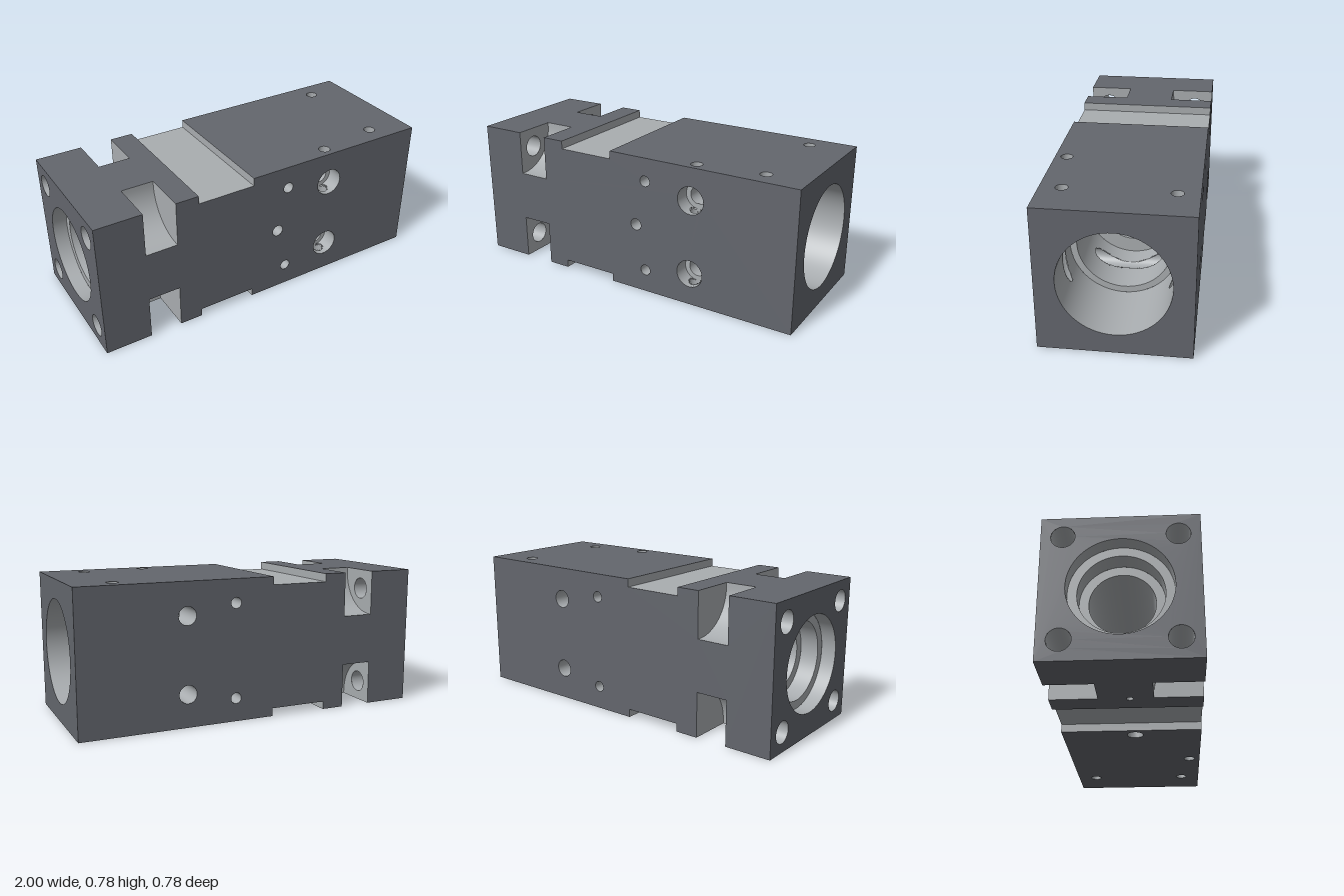
import * as THREE from 'three';

const H = 0.392;                                   // half height and half depth
const P0 = -0.74, P1 = -0.56, P = 0.25;            // corner pockets: x range, size
const G0 = -0.43, G1 = -0.1, G = 0.045;            // cross grooves: x range, depth
const BOLT = 0.282, BOLT_R = 0.06;

// stepped main bore: [x start, x end, radius]
const BORE = [
  [-1, -0.92, 0.262], [-0.92, -0.82, 0.215], [-0.82, 0.25, 0.167],
  [0.25, 0.62, 0.25], [0.62, 1, 0.285],
];
const boreRadius = x => (BORE.find(b => x < b[1]) || BORE[4])[2];

// cross holes: half holes running from one outer side towards the middle
const HOLES = [];
const drill = (axis, side, x, c, r, from = H, to = 0) => HOLES.push({ axis, side, x, c, r, from, to });
for (const s of [1, -1]) {
  for (const side of [1, -1]) drill('z', side, 0.125, s * 0.262, 0.03);
  drill('z', 1, 0.405, s * 0.21, 0.077, H, 0.3);   // counterbore
  drill('z', 1, 0.405, s * 0.21, 0.05, 0.3);
  drill('z', -1, 0.405, s * 0.21, 0.05);
  for (const c of [0.28, -0.28]) drill('y', s, 0.77, c, 0.032);
  drill('y', s, 0.405, 0.33, 0.032);
}
drill('z', 1, 0.065, 0, 0.033);
drill('y', -1, -0.03, 0.02, 0.045);
drill('y', -1, -0.55, 0.02, 0.018);

const inHole = (h, p) => {
  const along = (h.axis === 'z' ? p.z : p.y) * h.side;
  const across = h.axis === 'z' ? p.y : p.z;
  return along > h.to && along < h.from && Math.hypot(p.x - h.x, across - h.c) < h.r;
};

// closed tube as a grid, leaving out what other holes cut away
function tube(n, m, point, removed) {
  const pts = [], index = [], mid = new THREE.Vector3();
  for (let j = 0; j <= m; j++)
    for (let i = 0; i < n; i++) pts.push(point(i / n * Math.PI * 2, j / m));
  const tri = (a, b, c) => {
    mid.copy(pts[a]).add(pts[b]).add(pts[c]).divideScalar(3);
    if (!removed(mid)) index.push(a, b, c);
  };
  for (let j = 0; j < m; j++)
    for (let i = 0; i < n; i++) {
      const a = j * n + i, b = j * n + (i + 1) % n;
      tri(a, b, a + n);
      tri(b, b + n, a + n);
    }
  const g = new THREE.BufferGeometry().setFromPoints(pts);
  g.setIndex(index);
  g.computeVertexNormals();
  return g;
}

function plate(outline, circles = []) {
  const s = new THREE.Shape(outline.map(p => new THREE.Vector2(p[0], p[1])));
  for (const [x, y, r] of circles) s.holes.push(new THREE.Path().absarc(x, y, r, 0, Math.PI * 2, true));
  return new THREE.ShapeGeometry(s, 40);
}
// closes an upper outline with its mirror image below
const mirrored = up => [...up, ...up.map(([x, y]) => [x, -y]).reverse()];

export function createModel() {
  const model = new THREE.Group();
  const body = new THREE.Group();
  body.position.y = H;
  model.add(body);
  const dark = new THREE.MeshStandardMaterial({ color: 0x63666d, side: THREE.DoubleSide });
  const light = new THREE.MeshStandardMaterial({ color: 0xa9adb0, side: THREE.DoubleSide });
  const add = (name, geometry, material, parent = body) => {
    const mesh = new THREE.Mesh(geometry, material);
    mesh.name = name;
    parent.add(mesh);
    return mesh;
  };
  const openings = (axis, side) => HOLES
    .filter(h => h.axis === axis && h.side === side && h.from === H).map(h => [h.x, h.c, h.r]);

  // outer faces with pocket and groove cut-outs
  const head = [[-1, H], [P0, H], [P0, H - P], [P1, H - P], [P1, H], [G0, H]];
  const sideOutline = mirrored([...head, [G0, H - G], [G1, H - G], [G1, H], [1, H]]);
  for (const s of [1, -1]) {
    add(s > 0 ? 'frontFace' : 'backFace', plate(sideOutline, openings('z', s)).translate(0, 0, s * H), dark);
    const holes = openings('y', s);
    const name = s > 0 ? 'top' : 'bottom';
    add(name + 'HeadFace', plate(mirrored(head), holes.filter(h => h[0] < G0))
      .rotateX(Math.PI / 2).translate(0, s * H, 0), dark);
    add(name + 'MainFace', plate(mirrored([[G1, H], [1, H]]), holes.filter(h => h[0] > G1))
      .rotateX(Math.PI / 2).translate(0, s * H, 0), dark);

    // cross groove
    add(name + 'GrooveFloor', new THREE.PlaneGeometry(G1 - G0, 2 * H)
      .rotateX(-Math.PI / 2).translate((G0 + G1) / 2, s * (H - G), 0), light);
    for (const x of [G0, G1])
      add(name + 'GrooveWall', new THREE.PlaneGeometry(2 * H, G)
        .rotateY(Math.PI / 2).translate(x, s * (H - G / 2), 0), light);
  }

  // end faces
  const square = mirrored([[-H, H], [H, H]]);
  const bolts = [];
  for (const y of [1, -1]) for (const z of [1, -1]) bolts.push([z * BOLT, y * BOLT, BOLT_R]);
  add('boreEndFace', plate(square, [[0, 0, BORE[4][2]]]).rotateY(-Math.PI / 2).translate(1, 0, 0), dark);
  add('boltEndFace', plate(square, [[0, 0, BORE[0][2]], ...bolts])
    .rotateY(-Math.PI / 2).translate(-1, 0, 0), dark);

  // stepped bore and its shoulders
  BORE.forEach(([x0, x1, r], k) => {
    add('bore', tube(160, Math.ceil((x1 - x0) / 0.0125),
      (a, t) => new THREE.Vector3(x0 + (x1 - x0) * t, r * Math.sin(a), r * Math.cos(a)),
      p => HOLES.some(h => inHole(h, p))), light);
    if (k) {
      const q = BORE[k - 1][2];
      add('boreShoulder', new THREE.RingGeometry(Math.min(q, r), Math.max(q, r), 96)
        .rotateY(Math.PI / 2).translate(x0, 0, 0), light);
    }
  });

  // cross holes, each ending on the bore wall or at the middle
  for (const h of HOLES) {
    const R = boreRadius(h.x);
    add('crossHole', tube(40, 24, (a, t) => {
      const x = h.x + h.r * Math.cos(a), c = h.c + h.r * Math.sin(a);
      const end = Math.max(h.to, Math.sqrt(Math.max(0, R * R - c * c)));
      const d = h.side * (h.from + (end - h.from) * t);
      return h.axis === 'z' ? new THREE.Vector3(x, c, d) : new THREE.Vector3(x, d, c);
    }, p => HOLES.some(o => o !== h && inHole(o, p))), light);
    if (h.to > 0)
      add('counterboreSeat', new THREE.RingGeometry(0.05, h.r, 40).translate(h.x, h.c, h.side * h.to), light);
  }

  // rounded corner pockets with bolt holes through the end flange
  const e = 0.02, arc = [[H, H - P]];
  for (let i = 0; i <= 20; i++) {
    const a = i / 20 * Math.PI / 2;
    arc.push([H - e - (P - e) * Math.sin(a), H - e - (P - e) * Math.cos(a)]);
  }
  arc.push([H - P, H]);
  const floorPoints = arc.flatMap(([z, y]) => [new THREE.Vector3(P0, y, z), new THREE.Vector3(P1, y, z)]);
  const floor = new THREE.BufferGeometry().setFromPoints(floorPoints);
  floor.setIndex(arc.slice(1).flatMap((_, i) => [2 * i, 2 * i + 1, 2 * i + 2, 2 * i + 1, 2 * i + 3, 2 * i + 2]));
  floor.computeVertexNormals();
  const wall = [...arc, [H, H]];
  for (const sy of [1, -1])
    for (const sz of [1, -1]) {
      const pocket = new THREE.Group();
      pocket.name = 'cornerPocket';
      pocket.scale.set(1, sy, sz);
      body.add(pocket);
      add('pocketFloor', floor, light, pocket);
      add('pocketBoltWall', plate(wall, [[BOLT, BOLT, BOLT_R]])
        .rotateY(-Math.PI / 2).translate(P0, 0, 0), light, pocket);
      add('pocketInnerWall', plate(wall).rotateY(-Math.PI / 2).translate(P1, 0, 0), light, pocket);
      add('boltHole', new THREE.CylinderGeometry(BOLT_R, BOLT_R, P0 + 1, 40, 1, true)
        .rotateZ(Math.PI / 2).translate((P0 - 1) / 2, BOLT, BOLT), light, pocket);
    }
  return model;
}
